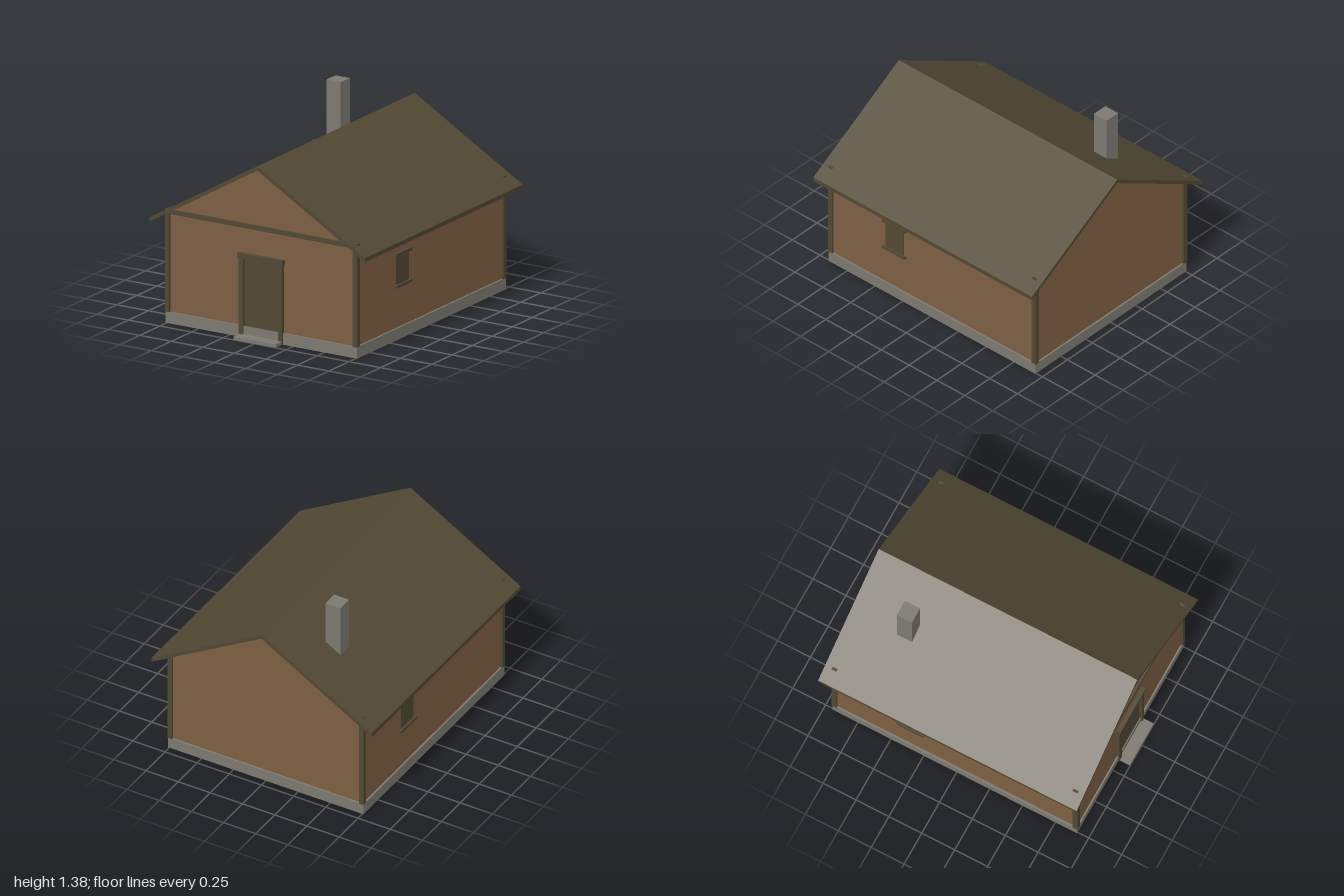
import * as THREE from 'three';

export function createModel() {
  const house = new THREE.Group();
  house.name = 'house';

  const mat = (name, color) => {
    const m = new THREE.MeshStandardMaterial({ color });
    m.name = name;
    return m;
  };
  const plaster = mat('brown wall', 0x7e5f43);
  const timber = mat('dark timber', 0x524833);
  const stone = mat('grey stone', 0x7c7970);

  // Box given by its limits on each axis
  const box = (name, material, [x0, x1], [y0, y1], [z0, z1]) => {
    const mesh = new THREE.Mesh(new THREE.BoxGeometry(x1 - x0, y1 - y0, z1 - z0), material);
    mesh.position.set((x0 + x1) / 2, (y0 + y1) / 2, (z0 + z1) / 2);
    mesh.name = name;
    house.add(mesh);
  };

  // Front outline extruded from z0 to z1
  const prism = (name, material, points, z0, z1) => {
    const shape = new THREE.Shape(points.map(([x, y]) => new THREE.Vector2(x, y)));
    const geometry = new THREE.ExtrudeGeometry(shape, { depth: z1 - z0, bevelEnabled: false });
    geometry.translate(0, 0, z0);
    const mesh = new THREE.Mesh(geometry, material);
    mesh.name = name;
    house.add(mesh);
  };

  const slope = (1.235 - 0.735) / 0.855;
  const under = (x) => 1.205 - slope * Math.abs(x);

  // Foundation: a thin skirt, open below, under a floor plate
  const skirt = 0.006;
  box('floor', stone, [-0.758, 0.758], [0.075, 0.08], [-0.943, 0.915]);
  box('frontFoundation', stone, [-0.758, 0.758], [0, 0.075], [0.915 - skirt, 0.915]);
  box('backFoundation', stone, [-0.758, 0.758], [0, 0.075], [-0.943, -0.943 + skirt]);
  for (const s of [-1, 1]) {
    const x = s > 0 ? [0.758 - skirt, 0.758] : [-0.758, -0.758 + skirt];
    box('sideFoundation', stone, x, [0, 0.075], [-0.943 + skirt, 0.915 - skirt]);
  }

  // Gabled walls
  const wallX = 0.745;
  prism('walls', plaster, [
    [-wallX, 0.08], [wallX, 0.08], [wallX, under(wallX)], [0, under(0)], [-wallX, under(wallX)],
  ], -0.93, 0.903);

  // Roof slabs with vertical eave cuts
  prism('roof', timber, [
    [-0.856, 0.705], [0, 1.205], [0.856, 0.705], [0.856, 0.735], [0, 1.235], [-0.856, 0.735],
  ], -1, 0.965);

  // Corner posts, whose tips poke through the roof
  for (const s of [-1, 1]) {
    const x = s > 0 ? [0.727, 0.761] : [-0.761, -0.727];
    box('frontCornerPost', timber, x, [0.08, 0.8], [0.883, 0.92]);
    box('backCornerPost', timber, x, [0.08, 0.8], [-0.948, -0.912]);
  }

  // Tie beam across the front gable
  box('gableBeam', timber, [-0.74, 0.74], [0.768, 0.8], [0.885, 0.919]);

  // Door, its frame and the step
  box('door', timber, [-0.138, 0.138], [0.08, 0.552], [0.9, 0.909]);
  for (const s of [-1, 1]) {
    const x = s > 0 ? [0.14, 0.173] : [-0.173, -0.14];
    box('doorPost', timber, x, [0, 0.56], [0.89, 0.925]);
  }
  box('doorLintel', timber, [-0.181, 0.181], [0.56, 0.592], [0.9, 0.934]);
  box('doorStep', stone, [-0.167, 0.167], [0, 0.023], [0.91, 1]);

  // One window on each side wall, set diagonally opposite
  for (const [s, z] of [[1, 0.33], [-1, -0.35]]) {
    const out = (d) => (s > 0 ? [0.74, d] : [-d, -0.74]);
    box('windowPane', timber, out(0.749), [0.382, 0.583], [z - 0.08, z + 0.08]);
    box('windowLintel', timber, out(0.764), [0.583, 0.605], [z - 0.102, z + 0.102]);
    box('windowSill', timber, out(0.764), [0.363, 0.382], [z - 0.102, z + 0.102]);
  }

  // Chimney
  box('chimney', stone, [-0.403, -0.289], [0.97, 1.384], [-0.645, -0.53]);

  return house;
}
